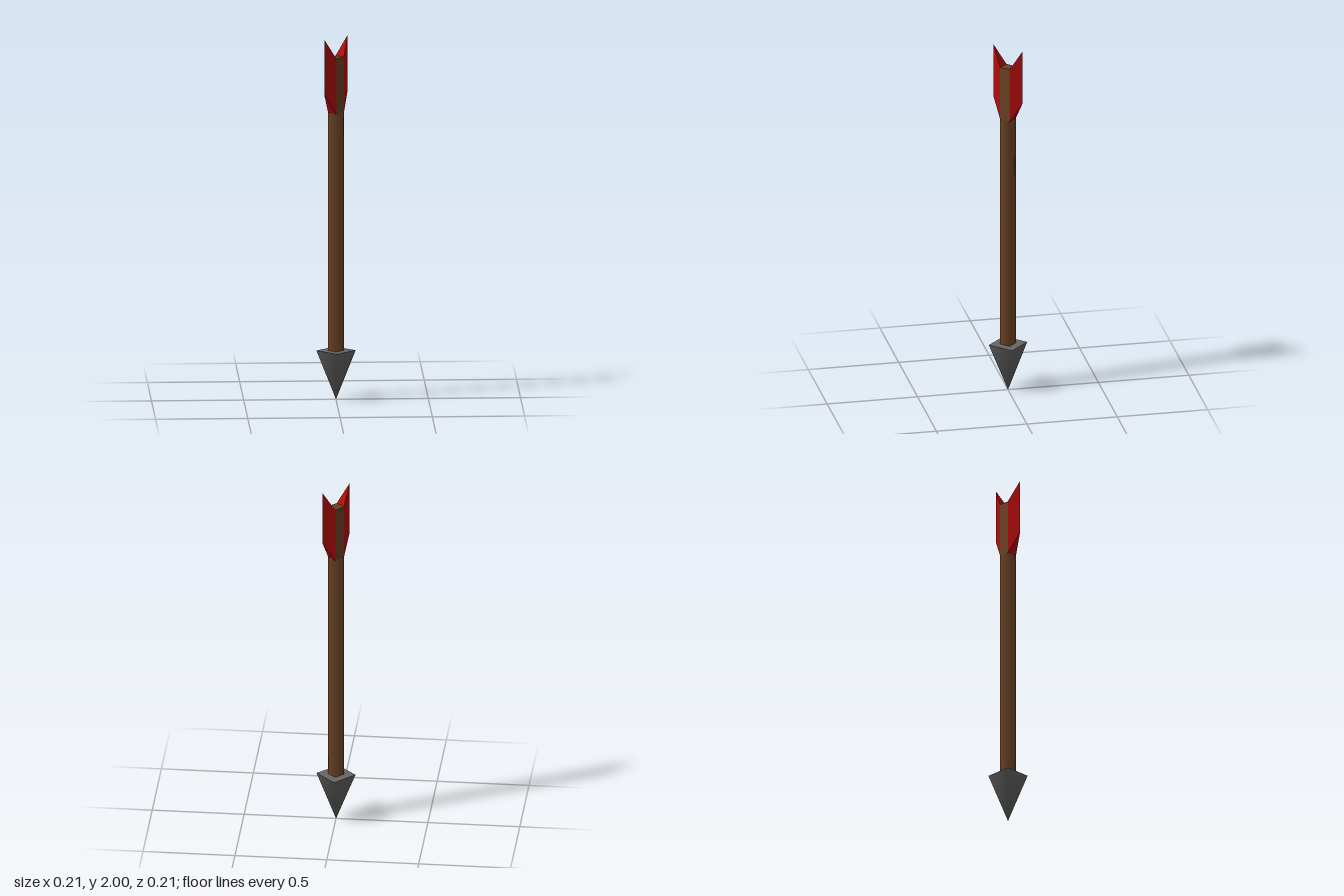
import * as THREE from 'three';
import { mergeVertices } from 'three/addons/utils/BufferGeometryUtils.js';

const wood = new THREE.MeshStandardMaterial({ color: 0x6a4224 });
wood.name = 'brown wood';
const iron = new THREE.MeshStandardMaterial({ color: 0x666666 });
iron.name = 'grey iron';
const feather = new THREE.MeshStandardMaterial({ color: 0xb00c0c });
feather.name = 'red feather';

const R = 0.043;           // shaft corner radius
const HEAD_R = 0.106;      // arrowhead corner radius
const HEAD_TOP = 0.27;
const FIN_LOW = 1.585;     // where the fins leave the shaft
const SHAFT_TOP = 1.89;

function flat(geometry) {
  const g = geometry.index ? geometry.toNonIndexed() : geometry;
  g.computeVertexNormals();
  return g;
}

// Fin: a triangular prism whose outer edge is swept upward
function finGeometry() {
  const tip = 0.066, rise = 0.11;
  const points = [
    0, FIN_LOW, -R, R, FIN_LOW, 0, tip, FIN_LOW + rise, -tip,
    0, SHAFT_TOP, -R, R, SHAFT_TOP, 0, tip, SHAFT_TOP + rise, -tip,
  ];
  const g = new THREE.BufferGeometry();
  g.setAttribute('position', new THREE.Float32BufferAttribute(points, 3));
  g.setIndex([
    3, 4, 5, 0, 2, 1,        // top and bottom
    1, 2, 5, 1, 5, 4,        // one side
    2, 0, 3, 2, 3, 5,        // other side
  ]);
  return flat(g);
}

export function createModel() {
  const group = new THREE.Group();
  group.name = 'arrow';
  const add = (name, geometry, material, y = 0) => {
    const mesh = new THREE.Mesh(geometry, material);
    mesh.name = name;
    mesh.position.y = y;
    group.add(mesh);
    return mesh;
  };

  // Square shaft with softly shaded corners
  const shaftLength = FIN_LOW - HEAD_TOP;
  add('shaft', new THREE.CylinderGeometry(R, R, shaftLength, 4, 1, true), wood, HEAD_TOP + shaftLength / 2);

  // Hard-edged end of the shaft between the fins
  const endLength = SHAFT_TOP - FIN_LOW;
  add('shaftEnd', flat(new THREE.CylinderGeometry(R, R, endLength, 4)), wood, FIN_LOW + endLength / 2);

  // Arrowhead: smooth four-sided point with a flat top
  let point = new THREE.CylinderGeometry(HEAD_R, 0, HEAD_TOP, 4, 1, true);
  point.deleteAttribute('normal');
  point.deleteAttribute('uv');
  point = mergeVertices(point);
  point.computeVertexNormals();
  add('headPoint', point, iron, HEAD_TOP / 2);
  add('headTop', new THREE.CircleGeometry(HEAD_R, 4).rotateX(-Math.PI / 2), iron, HEAD_TOP);

  // Two opposite fins
  const fin = finGeometry();
  ['backFin', 'frontFin'].forEach((name, i) => {
    add(name, fin, feather).rotation.y = i * Math.PI;
  });
  return group;
}
